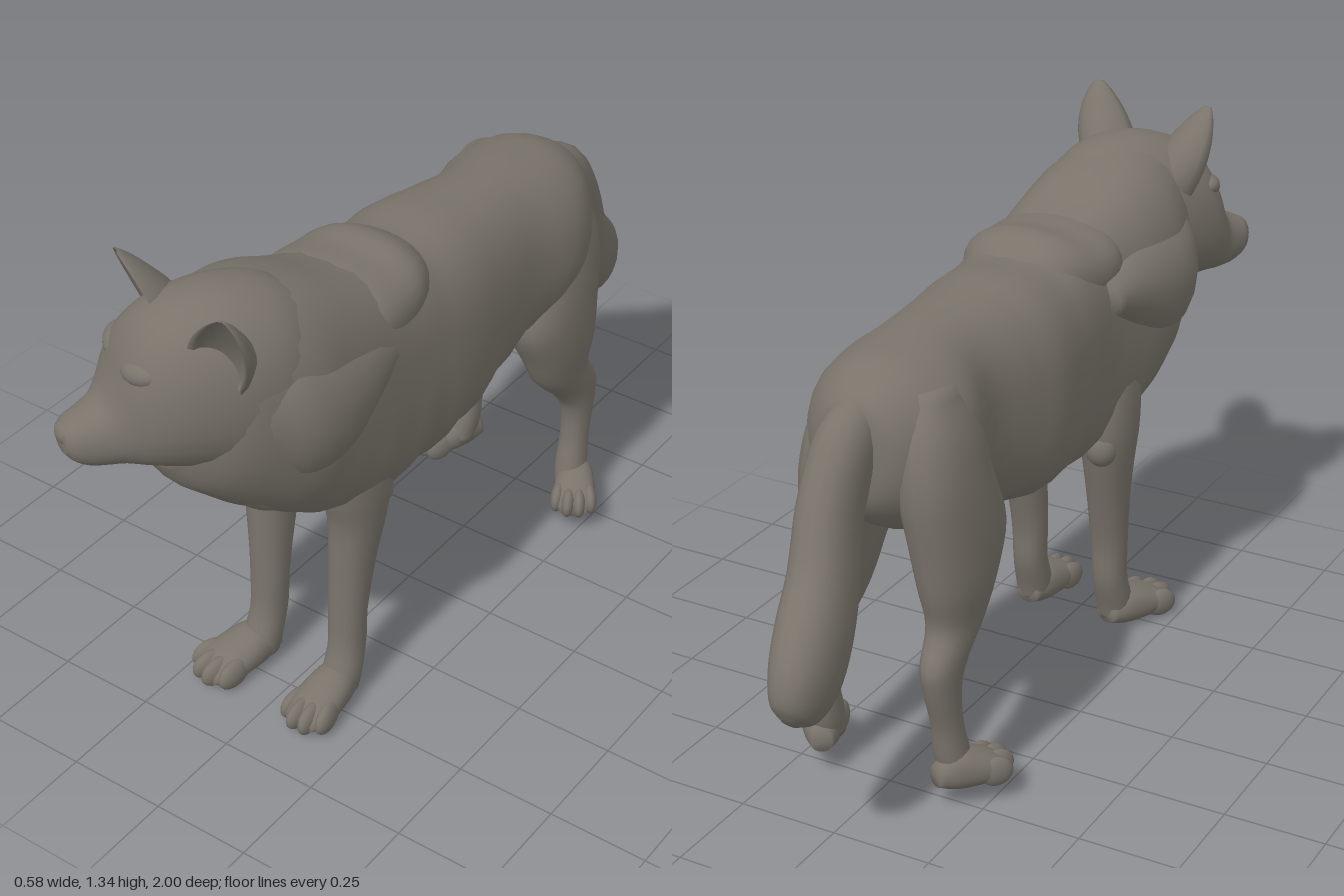
import * as THREE from 'three';

const fur = new THREE.MeshStandardMaterial({ color: 0x79736a });
fur.name = 'greyFur';
const V = (x, y, z) => new THREE.Vector3(x, y, z);

function mesh(name, geometry, parent) {
  const m = new THREE.Mesh(geometry, fur);
  m.name = name;
  parent.add(m);
  return m;
}

// Oval ring: u and v are the half axes; down scales the lower half of v; p squares it off
function ring(c, u, v, down = 1, n = 24, p = 2.2) {
  const pts = [];
  for (let i = 0; i < n; i++) {
    const a = (i / n) * Math.PI * 2, ca = Math.cos(a), sa = Math.sin(a);
    const e = (t) => Math.sign(t) * Math.abs(t) ** (2 / p);
    pts.push(c.clone().addScaledVector(u, e(ca)).addScaledVector(v, e(sa) * (sa < 0 ? down : 1)));
  }
  return pts;
}

// Smooth closed skin through a list of rings, with an optional rule to move points
function loft(rings, steps = 4, rule = null) {
  const n = rings[0].length, rows = (rings.length - 1) * steps;
  const curves = rings[0].map((_, i) => new THREE.CatmullRomCurve3(rings.map((r) => r[i]), false, 'centripetal'));
  const pos = [], idx = [];
  for (let j = 0; j <= rows; j++) {
    for (let i = 0; i < n; i++) {
      const p = curves[i].getPoint(j / rows);
      if (rule) rule(p);
      pos.push(p.x, p.y, p.z);
    }
  }
  for (const r of [rings[0], rings[rings.length - 1]]) {
    const c = r.reduce((s, p) => s.add(p), V(0, 0, 0)).divideScalar(n);
    pos.push(c.x, c.y, c.z);
  }
  const first = (rows + 1) * n;
  for (let i = 0; i < n; i++) {
    const k = (i + 1) % n;
    for (let j = 0; j < rows; j++) {
      const a = j * n + i, b = j * n + k;
      idx.push(a, b, a + n, b, b + n, a + n);
    }
    idx.push(first, k, i, first + 1, rows * n + i, rows * n + k);
  }
  // Turn the faces outward if the enclosed volume is negative
  const at = (i) => V(pos[i * 3], pos[i * 3 + 1], pos[i * 3 + 2]);
  let volume = 0;
  for (let i = 0; i < idx.length; i += 3) volume += at(idx[i]).dot(at(idx[i + 1]).cross(at(idx[i + 2])));
  if (volume < 0) idx.reverse();
  const g = new THREE.BufferGeometry();
  g.setAttribute('position', new THREE.Float32BufferAttribute(pos, 3));
  g.setIndex(idx);
  g.computeVertexNormals();
  return g;
}

// Upright sections along z: [z, top, bottom, centre x, half width, squareness]
const along = (rows) => rows.map(([z, t, b, x, w, p = 2.2]) => {
  const mid = b + (t - b) * 0.48;
  return ring(V(x, mid, z), V(w, 0, 0), V(0, t - mid, 0), (mid - b) / (t - mid), 28, p);
});

// Level sections along a leg: [y, centre z, half depth, centre x, half width]
const leg = (rows, s) => loft(rows.map(([y, z, d, x, w]) => ring(V(x * s, y, z), V(w, 0, 0), V(0, 0, d), 1, 16)));

function blob(name, parent, [x, y, z], [a, b, c], [rx, ry, rz] = [0, 0, 0]) {
  const m = mesh(name, new THREE.SphereGeometry(1, 18, 12), parent);
  m.position.set(x, y, z);
  m.scale.set(a, b, c);
  m.rotation.set(rx, ry, rz);
}

// Paw with four toes; its origin is the heel on the ground
function paw(name, parent, x, y, z, yaw, w, len) {
  const g = new THREE.Group();
  g.name = name;
  g.position.set(x, y, z);
  g.rotation.y = yaw;
  parent.add(g);
  mesh('pad', loft(along([
    [-0.01, 0.07, 0.02, 0, w * 0.45], [len * 0.2, 0.105, 0.003, 0, w * 0.78],
    [len * 0.55, 0.09, 0, 0, w * 0.95], [len * 0.8, 0.068, 0.003, 0, w * 0.92], [len * 0.94, 0.045, 0.01, 0, w * 0.6],
  ])), g);
  [-1.5, -0.5, 0.5, 1.5].forEach((k) => {
    const middle = Math.abs(k) < 1;
    blob('toe', g, [k * w * 0.49, 0.037, len * (middle ? 0.81 : 0.7)], [w * 0.32, 0.037, len * 0.23], [0.15, k * 0.1, 0]);
  });
}

// Cupped ear: crescent rings from base to tip, open toward the yaw direction
function ear(name, parent, base, tip, yaw) {
  const across = V(Math.cos(yaw), 0, -Math.sin(yaw)), back = V(-Math.sin(yaw), 0, -Math.cos(yaw));
  const rows = [[-0.35, 0.07, 0.08], [0, 0.08, 0.085], [0.3, 0.077, 0.077], [0.6, 0.061, 0.055], [0.85, 0.036, 0.03], [1, 0.012, 0.01]];
  const rings = rows.map(([t, w, d]) => {
    const c = base.clone().lerp(tip, t), pts = [];
    for (let i = 0; i < 20; i++) {
      const outer = i < 10, a = Math.PI * (outer ? i / 9 : (19.5 - i) / 10);
      const k = outer ? 1 : 0.84;
      pts.push(c.clone().addScaledVector(across, Math.cos(a) * w * k)
        .addScaledVector(back, Math.sin(a) * d * (outer ? 1 : 0.5)));
    }
    return pts;
  });
  mesh(name, loft(rings, 3), parent);
}

export function createModel() {
  const wolf = new THREE.Group();
  wolf.name = 'wolf';

  // Trunk, neck and broad chest, with faint fur ridges on the underside and throat
  const trunk = [
    [-0.61, 0.97, 0.84, 0.02, 0.04], [-0.59, 1.015, 0.75, 0.02, 0.11], [-0.5, 1.07, 0.67, 0.02, 0.18],
    [-0.4, 1.085, 0.64, 0.02, 0.207], [-0.25, 1.097, 0.61, 0.03, 0.178, 2.3], [-0.1, 1.108, 0.565, 0.02, 0.197, 2.4],
    [0, 1.115, 0.54, 0.015, 0.213, 2.5], [0.12, 1.112, 0.535, 0.02, 0.211, 2.6], [0.18, 1.125, 0.535, 0.02, 0.207, 2.7],
    [0.3, 1.138, 0.535, 0.02, 0.203, 2.9], [0.4, 1.172, 0.55, 0.015, 0.208, 2.9], [0.5, 1.217, 0.58, 0.005, 0.217, 2.7],
    [0.6, 1.25, 0.63, 0, 0.222, 2.4], [0.7, 1.264, 0.7, -0.005, 0.195], [0.78, 1.25, 0.77, -0.02, 0.16],
    [0.82, 1.19, 0.81, -0.04, 0.12], [0.85, 1.08, 0.87, -0.06, 0.06],
  ];
  mesh('body', loft(along(trunk), 4, (p) => {
    const low = THREE.MathUtils.smoothstep(0.85 - p.y, 0, 0.3);
    p.x *= 1 + 0.015 * low * Math.sin(p.z * 45 + p.y * 14);
    p.y += 0.006 * low * Math.sin(p.z * 38 + p.x * 30);
  }), wolf);

  // Mane: saddle of fur over the withers, ruffs sweeping back along the neck
  mesh('withers', loft(along([
    [0.1, 1.095, 1.0, 0.025, 0.07], [0.14, 1.13, 0.97, 0.025, 0.13], [0.2, 1.157, 0.95, 0.025, 0.165],
    [0.27, 1.149, 0.94, 0.02, 0.182], [0.36, 1.15, 0.94, 0.015, 0.18], [0.45, 1.12, 0.97, 0.01, 0.12],
  ])), wolf);
  for (const s of [1, -1]) {
    mesh('neckRuff', loft([
      [0.75, 1.0, 0.11, 0.05, 0.08], [0.67, 0.965, 0.12, 0.108, 0.16], [0.6, 0.945, 0.12, 0.13, 0.17], [0.5, 0.945, 0.12, 0.127, 0.15],
      [0.4, 0.965, 0.12, 0.108, 0.11], [0.28, 0.985, 0.12, 0.08, 0.05],
    ].map(([z, y, x, w, h]) => ring(V(x * s, y, z), V(w, 0, 0), V(0, h, 0), 1, 20, 2))), wolf);
    blob('chestTuft', wolf, [s * 0.05, 0.76, 0.68], [0.06, 0.12, 0.05], [0.75, 0, s * 0.3]);
  }

  // Legs and paws
  const foreRows = [
    [0.85, 0.41, 0.09, 0.11, 0.06], [0.7, 0.395, 0.1, 0.12, 0.072], [0.6, 0.385, 0.095, 0.124, 0.072],
    [0.52, 0.385, 0.077, 0.125, 0.064], [0.4, 0.4, 0.061, 0.12, 0.054], [0.25, 0.418, 0.046, 0.117, 0.047],
    [0.15, 0.425, 0.048, 0.118, 0.044], [0.07, 0.45, 0.05, 0.12, 0.046], [0.03, 0.455, 0.045, 0.12, 0.04],
  ];
  const hindRows = [
    [1.02, -0.45, 0.06, 0.1, 0.04], [0.92, -0.45, 0.12, 0.115, 0.075], [0.8, -0.45, 0.142, 0.128, 0.088],
    [0.66, -0.42, 0.158, 0.142, 0.086], [0.55, -0.435, 0.128, 0.152, 0.073], [0.46, -0.45, 0.097, 0.155, 0.056],
    [0.38, -0.513, 0.08, 0.16, 0.045], [0.32, -0.53, 0.057, 0.163, 0.039], [0.22, -0.518, 0.041, 0.167, 0.036],
    [0.14, -0.503, 0.046, 0.17, 0.04], [0.08, -0.49, 0.046, 0.178, 0.04],
  ];
  for (const s of [1, -1]) {
    mesh('frontLeg', leg(foreRows, s), wolf);
    blob('elbow', wolf, [s * 0.135, 0.565, 0.325], [0.042, 0.05, 0.042]);
    mesh('hindLeg', leg(hindRows, s), wolf);
    paw('hindPaw', wolf, s * 0.16, 0.043, -0.545, s * 0.52, 0.057, 0.185);
  }
  paw('leftFrontPaw', wolf, 0.118, 0, 0.42, 0, 0.063, 0.215);
  paw('rightFrontPaw', wolf, -0.118, 0, 0.42, -0.28, 0.068, 0.215);

  // Bushy tail: [y, z, half width, half thickness, centre x]
  const tail = [
    [0.985, -0.5, 0.05, 0.06, 0.025], [0.915, -0.605, 0.066, 0.085, 0.027], [0.79, -0.685, 0.067, 0.092, 0.024],
    [0.65, -0.755, 0.073, 0.1, 0.002], [0.545, -0.845, 0.077, 0.11, -0.022], [0.475, -0.915, 0.066, 0.1, -0.037],
    [0.43, -0.955, 0.045, 0.065, -0.04], [0.415, -0.97, 0.015, 0.02, -0.04],
  ];
  mesh('tail', loft(tail.map(([y, z, w, h, x], i) => {
    const a = tail[Math.max(i - 1, 0)], b = tail[Math.min(i + 1, tail.length - 1)];
    const normal = V(0, a[1] - b[1], b[0] - a[0]).normalize();
    return ring(V(x, y, z), V(w, 0, 0), normal.multiplyScalar(h), 1, 18);
  })), wolf);

  // Head, turned toward the model's right
  const head = new THREE.Group();
  head.name = 'head';
  head.position.set(-0.033, 0, 0.66);
  head.rotation.y = -0.5;
  wolf.add(head);
  mesh('skullAndMuzzle', loft(along([
    [-0.18, 1.2, 0.86, 0.04, 0.11], [-0.1, 1.25, 0.83, 0.04, 0.16], [0, 1.272, 0.83, 0.04, 0.172],
    [0.08, 1.265, 0.845, 0.035, 0.168], [0.15, 1.242, 0.86, 0.028, 0.154], [0.2, 1.203, 0.868, 0.018, 0.134],
    [0.233, 1.148, 0.872, 0.008, 0.112], [0.255, 1.085, 0.874, 0.002, 0.095], [0.28, 1.037, 0.876, 0, 0.08], [0.32, 1.013, 0.884, 0, 0.066],
    [0.35, 1.0, 0.902, 0, 0.054], [0.369, 0.985, 0.925, 0, 0.034],
  ])), head);
  blob('nose', head, [0, 0.968, 0.356], [0.034, 0.027, 0.022]);
  for (const s of [1, -1]) {
    blob('brow', head, [0.012 + s * 0.068, 1.125, 0.203], [0.055, 0.03, 0.035], [0, s * 0.4, s * 0.15]);
    blob('eye', head, [0.006 + s * 0.07, 1.08, 0.226], [0.02, 0.01, 0.012], [0, s * 0.5, s * 0.25]);
  }

  // Ears
  ear('leftEar', wolf, V(0.104, 1.175, 0.83), V(0.165, 1.337, 0.88), 0.0);
  ear('rightEar', wolf, V(-0.14, 1.175, 0.745), V(-0.186, 1.337, 0.795), -0.5);

  return wolf;
}
